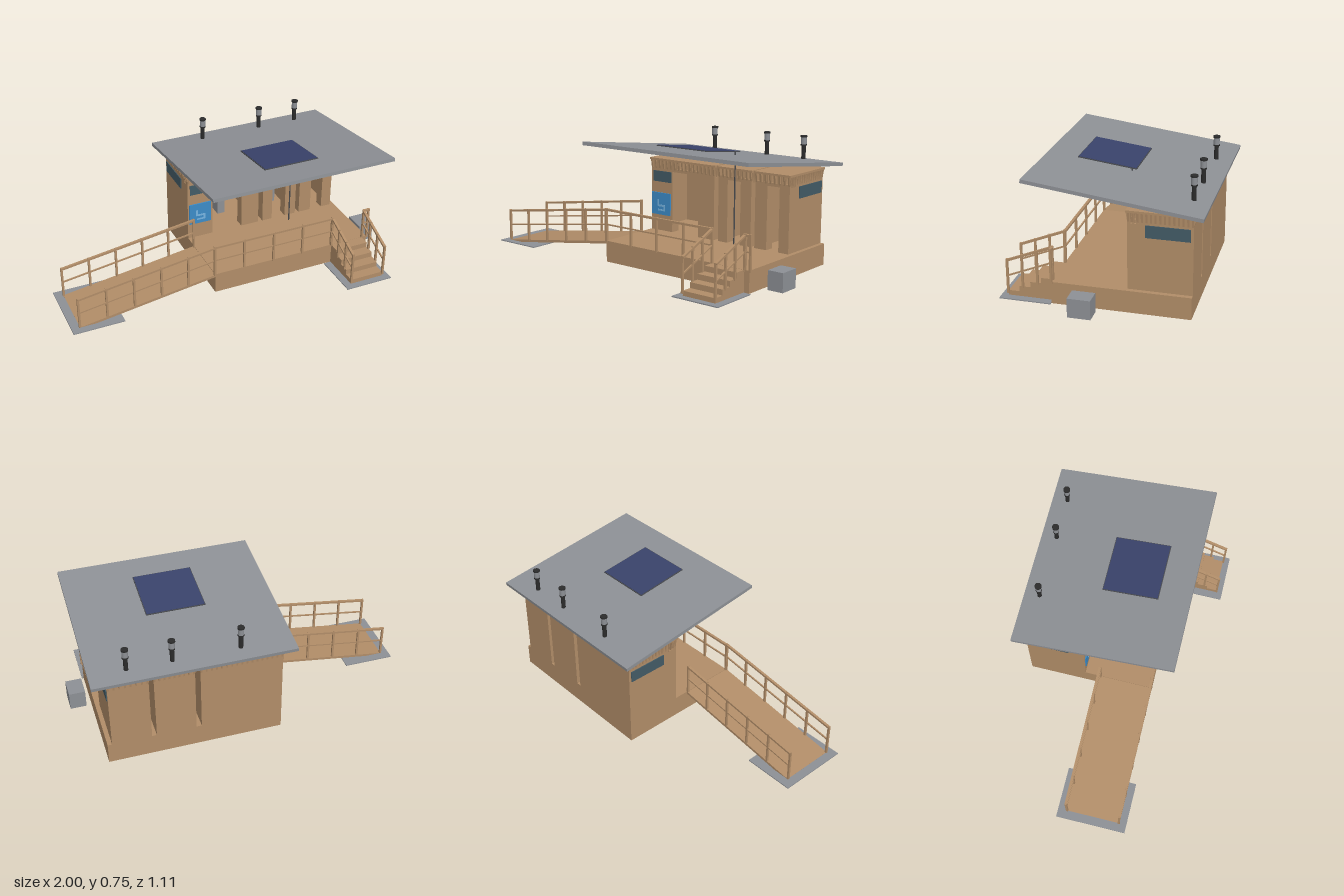
import * as THREE from 'three';

const material = (name, color) => {
  const m = new THREE.MeshStandardMaterial({ color });
  m.name = name;
  return m;
};

export function createModel() {
  const model = new THREE.Group();
  const wood = material('tan wood', 0xb18d68);
  const grey = material('grey metal', 0x8d9095);
  const black = material('black pipe', 0x2b2b2b);
  const pole = material('dark steel', 0x4a4c50);
  const navy = material('solar navy', 0x39426a);
  const glass = material('dark glass', 0x435b66);
  const blue = material('sign blue', 0x3c8cc8);
  const pale = material('sign pale blue', 0x76b4e0);

  const group = (name, parent = model) => {
    const g = new THREE.Group();
    g.name = name;
    parent.add(g);
    return g;
  };
  const add = (parent, name, geo, mat) => {
    const m = new THREE.Mesh(geo, mat);
    m.name = name;
    parent.add(m);
    return m;
  };
  // Box given by its limits on each axis
  const box = (parent, name, mat, x0, x1, y0, y1, z0, z1) => {
    const m = add(parent, name, new THREE.BoxGeometry(x1 - x0, y1 - y0, z1 - z0), mat);
    m.position.set((x0 + x1) / 2, (y0 + y1) / 2, (z0 + z1) / 2);
    return m;
  };
  // Upright cylinder from y0 to y1
  const tube = (parent, name, mat, x, z, r, y0, y1, sides = 16) => {
    const m = add(parent, name, new THREE.CylinderGeometry(r, r, y1 - y0, sides), mat);
    m.position.set(x, (y0 + y1) / 2, z);
    return m;
  };
  // Square bar between two points
  const bar = (parent, name, a, b, w, h = w) => {
    const p = new THREE.Vector3(...a), q = new THREE.Vector3(...b);
    const m = add(parent, name, new THREE.BoxGeometry(w, h, p.distanceTo(q)), wood);
    m.position.copy(p).add(q).multiplyScalar(0.5);
    m.lookAt(q);
  };
  // Railing: feet are the post bases, with rails at given heights at both ends
  const railing = (name, feet, top0, top1, mid0, mid1) => {
    const g = group(name), n = feet.length - 1;
    feet.forEach(([x, y, z], i) => {
      const top = top0 + (top1 - top0) * i / n + 0.008;
      box(g, 'railPost', wood, x - 0.006, x + 0.006, y, top, z - 0.006, z + 0.006);
    });
    const a = feet[0], b = feet[n];
    bar(g, 'topRail', [a[0], top0, a[2]], [b[0], top1, b[2]], 0.015, 0.012);
    bar(g, 'middleRail', [a[0], mid0, a[2]], [b[0], mid1, b[2]], 0.008);
  };

  // Raised deck: floor, hollow skirt and foundation posts
  const deck = group('deck');
  box(deck, 'deckFloor', wood, -0.13, 0.875, 0.12, 0.14, -0.49, 0.265);
  for (const z of [-0.49, 0.255]) box(deck, 'skirt', wood, -0.13, 0.875, 0.015, 0.121, z, z + 0.01);
  for (const x of [-0.13, 0.865]) box(deck, 'skirtEnd', wood, x, x + 0.01, 0.015, 0.121, -0.48, 0.255);
  for (const x of [-0.085, 0.372, 0.83])
    for (const z of [-0.445, -0.112, 0.22]) tube(deck, 'foundationPost', grey, x, z, 0.018, 0.016, 0.121);

  // Three cabins: x limits, door opening, vent position, whether the left front reaches the top
  const cabins = [
    { x0: -0.13, x1: 0.34, d0: 0.03, d1: 0.225, vent: 0.105, wc: 0.17, tall: true },
    { x0: 0.37, x1: 0.598, d0: 0.435, d1: 0.525, vent: 0.485, wc: 0.52 },
    { x0: 0.625, x1: 0.85, d0: 0.705, d1: 0.785, vent: 0.735, wc: 0.775 },
  ];
  const T = 0.012, Y = 0.14, TOP = 0.57, FRONT = -0.145, BACK = -0.49;
  for (const c of cabins) {
    const g = group('cabin');
    box(g, 'backWall', wood, c.x0, c.x1, Y, TOP, BACK, BACK + T);
    for (const x of [c.x0, c.x1 - T]) {
      box(g, 'sideWall', wood, x, x + T, Y, TOP, BACK + T, -0.205);
      box(g, 'sideReturn', wood, x, x + T, Y, 0.51, -0.205, FRONT - T);
      for (let i = 0; i < 3; i++) {
        const z = FRONT - 0.012 - i * 0.02;
        box(g, 'sideSlat', wood, x, x + T, 0.51, TOP, z - 0.005, z + 0.005);
      }
    }
    box(g, 'frontLeftWall', wood, c.x0, c.d0, Y, c.tall ? TOP : 0.51, FRONT - T, FRONT);
    box(g, 'frontRightWall', wood, c.d1, c.x1, Y, c.tall ? TOP : 0.51, FRONT - T, FRONT);
    for (const x of [c.d0 - T, c.d1]) box(g, 'doorJamb', wood, x, x + T, Y, 0.51, -0.205, FRONT - T);
    // Lintel and open slats above the doorway
    const s0 = c.tall ? c.d0 : c.x0, s1 = c.tall ? c.d1 : c.x1;
    box(g, 'lintel', wood, s0, s1, 0.508, 0.528, FRONT - T, FRONT);
    const slats = Math.round((s1 - s0) / 0.025);
    for (let i = 0; i <= slats; i++) {
      const x = s0 + 0.006 + (s1 - s0 - 0.012) * i / slats;
      box(g, 'frontSlat', wood, x - 0.005, x + 0.005, 0.528, TOP, FRONT - T, FRONT);
    }
    // Top plate with a row of tapered brackets all round
    box(g, 'topPlate', wood, c.x0 - 0.008, c.x1 + 0.008, TOP, 0.582, BACK - 0.008, FRONT + 0.008);
    const wedge = new THREE.ExtrudeGeometry(
      new THREE.Shape([[0, 0], [0.008, 0.05], [0, 0.05]].map(p => new THREE.Vector2(...p))),
      { depth: 0.01, bevelEnabled: false }).translate(0, 0, -0.005);
    const bracket = (x, z, turn) => {
      const m = add(g, 'eaveBracket', wedge, wood);
      m.position.set(x, 0.52, z);
      m.rotation.y = turn;
    };
    const nx = Math.round((c.x1 - c.x0) / 0.03);
    for (let i = 0; i <= nx; i++) {
      const x = c.x0 + 0.006 + (c.x1 - c.x0 - 0.012) * i / nx;
      bracket(x, FRONT, -Math.PI / 2);
      bracket(x, BACK, Math.PI / 2);
    }
    for (let i = 0; i <= 14; i++) {
      const z = BACK + 0.006 + (FRONT - BACK - 0.012) * i / 14;
      bracket(c.x1, z, 0);
      bracket(c.x0, z, Math.PI);
    }
    // Toilet and vent pipe with cowl
    box(g, 'toilet', grey, c.wc - 0.025, c.wc + 0.025, Y, 0.235, -0.42, -0.33);
    const v = group('vent', g);
    tube(v, 'ventPipe', black, c.vent, -0.464, 0.0125, Y, 0.715);
    tube(v, 'ventCollar', black, c.vent, -0.464, 0.018, 0.7, 0.708);
    tube(v, 'ventCowl', grey, c.vent, -0.464, 0.017, 0.708, 0.748);
    tube(v, 'ventCap', black, c.vent, -0.464, 0.02, 0.748, 0.757);
  }

  // Windows and sign as thin plates
  box(model, 'rightWindow', glass, 0.849, 0.855, 0.44, 0.508, -0.475, -0.24);
  box(model, 'leftWindow', glass, -0.135, -0.129, 0.44, 0.508, -0.475, -0.24);
  box(model, 'frontWindow', glass, -0.115, 0.022, 0.44, 0.505, -0.146, -0.141);
  const sign = group('signBoard');
  box(sign, 'signPlate', blue, -0.122, 0.018, 0.238, 0.373, -0.146, -0.138);
  for (const [x0, x1, y0, y1] of [[-0.08, -0.068, 0.29, 0.33], [-0.068, -0.02, 0.288, 0.3], [-0.032, -0.02, 0.262, 0.288], [-0.075, -0.032, 0.262, 0.272]])
    box(sign, 'signMark', pale, x0, x1, y0, y1, -0.139, -0.1365);

  // Tilted roof, solar panel and its pole
  const roof = box(model, 'roof', grey, -0.195, 0.94, 0.65, 0.67, -0.558, 0.392);
  roof.rotation.x = -0.126;
  const solar = group('solarPanel');
  box(solar, 'panelFrame', pole, -0.17, 0.17, -0.003, 0.002, -0.163, 0.163);
  box(solar, 'panelCells', navy, -0.166, 0.166, 0.002, 0.004, -0.159, 0.159);
  solar.position.set(0.37, 0.706, 0.045);
  solar.rotation.x = -0.126;
  tube(model, 'supportPole', pole, 0.525, -0.087, 0.004, 0.06, 0.69, 10);

  // Ramp with railings on both sides
  bar(model, 'ramp', [-0.95, 0.01, 0.106], [-0.13, 0.131, 0.106], 0.325, 0.015);
  for (const z of [-0.05, 0.265]) {
    const feet = [];
    for (let i = 0; i < 6; i++) feet.push([-0.95 + i * 0.1635, 0.012 + i * 0.0242, z]);
    railing('rampRailing', feet, 0.205, 0.325, 0.115, 0.237);
  }

  // Deck front railing and the short piece beside the steps
  railing('deckRailing', [-0.13, 0.055, 0.245, 0.435, 0.63].map(x => [x, 0.13, 0.262]), 0.325, 0.325, 0.237, 0.237);
  railing('cornerRailing', [0.845, 0.877].map(x => [x, 0.13, 0.262]), 0.325, 0.325, 0.237, 0.237);

  // Steps and their railings
  const steps = group('steps');
  for (let i = 0; i < 4; i++)
    box(steps, 'step', wood, 0.633, 0.842, 0.015, 0.139 - i * 0.0315, 0.264 + (i ? 0.066 + (i - 1) * 0.062 : 0), 0.33 + i * 0.062);
  for (const x of [0.632, 0.843])
    railing('stepRailing', [[x, 0.03, 0.518], [x, 0.07, 0.434], [x, 0.1, 0.35], [x, 0.13, 0.265]], 0.222, 0.325, 0.132, 0.237);

  // Ground pads and utility box
  box(model, 'rampPad', grey, -1, -0.7, 0.011, 0.017, -0.105, 0.31);
  box(model, 'stepPad', grey, 0.59, 0.885, 0.011, 0.017, 0.268, 0.555);
  box(model, 'utilityBox', grey, 0.905, 1, 0.013, 0.122, 0.012, 0.138);

  return model;
}
